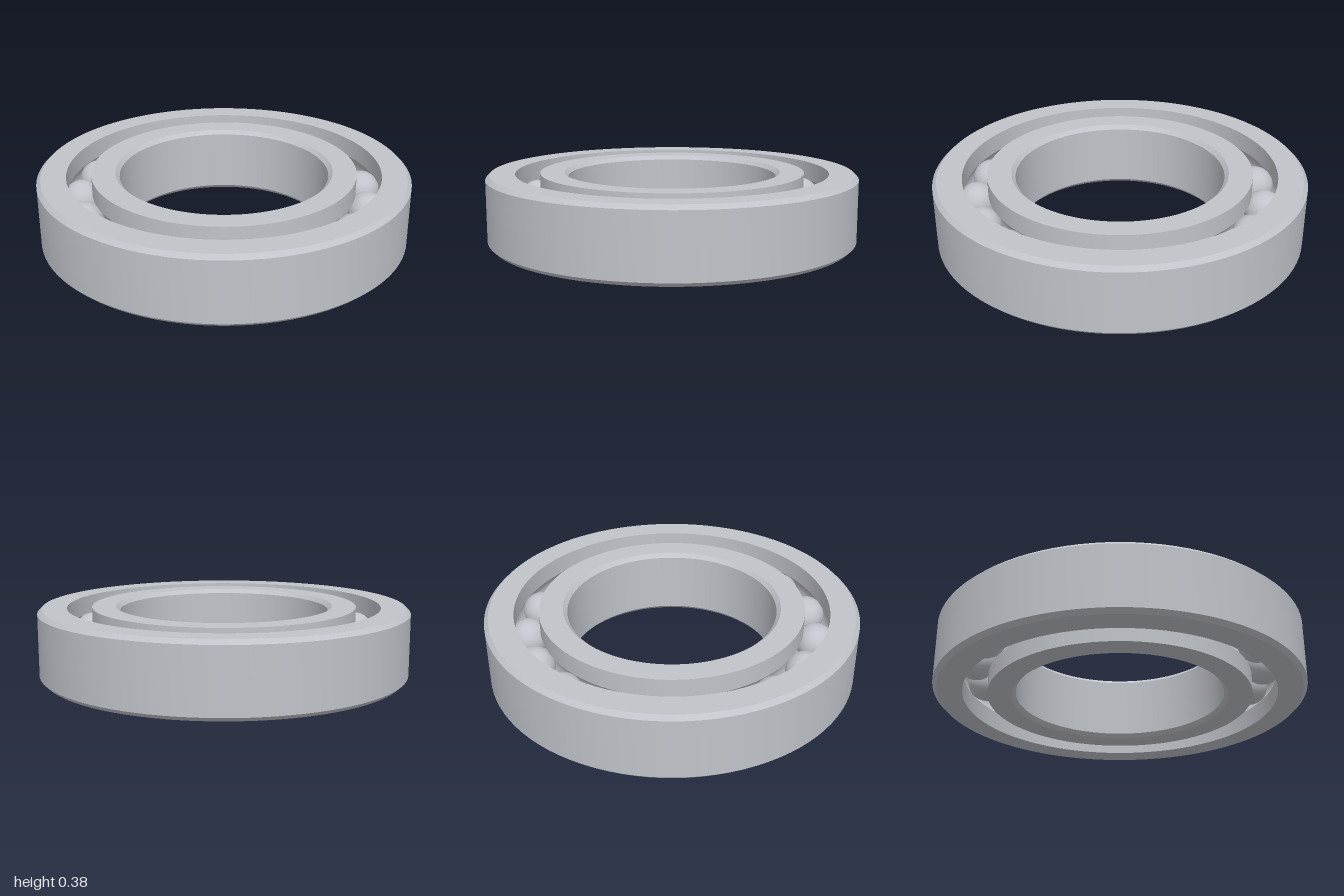
import * as THREE from 'three';
import { toCreasedNormals } from 'three/addons/utils/BufferGeometryUtils.js';

const HEIGHT = 0.375, MID = HEIGHT / 2, CHAMFER = 0.022;
const PITCH = 0.778, BALL_RADIUS = 0.104, GROOVE_RADIUS = 0.106, BALLS = 17;
const OUTER = 1, OUTER_BORE = 0.844, INNER = 0.712, BORE = 0.562;

// Arc of the ball groove between its two edges on a wall at radius `wall`, listed along direction `dir` in y
function groove(wall, dir, steps = 16) {
  const side = Math.sign(wall - PITCH);
  const half = Math.acos(Math.abs(wall - PITCH) / GROOVE_RADIUS);
  return Array.from({ length: steps + 1 }, (_, i) => {
    const a = dir * half * (2 * i / steps - 1);
    return [PITCH + side * GROOVE_RADIUS * Math.cos(a), MID + GROOVE_RADIUS * Math.sin(a)];
  });
}

// Closed counter-clockwise profile turned around the y axis
function ring(name, profile, material) {
  const points = [...profile, profile[0]].map(([r, y]) => new THREE.Vector2(r, y));
  const geometry = toCreasedNormals(new THREE.LatheGeometry(points, 96), Math.PI / 6);
  const mesh = new THREE.Mesh(geometry, material);
  mesh.name = name;
  return mesh;
}

export function createModel() {
  const model = new THREE.Group();
  model.name = 'ballBearing';
  const steel = new THREE.MeshStandardMaterial({ color: 0xc0c4ca });
  steel.name = 'steel';

  // Outer ring: chamfered outside, grooved inside
  model.add(ring('outerRing', [
    [OUTER_BORE, 0], [OUTER - CHAMFER, 0], [OUTER, CHAMFER],
    [OUTER, HEIGHT - CHAMFER], [OUTER - CHAMFER, HEIGHT], [OUTER_BORE, HEIGHT],
    ...groove(OUTER_BORE, -1),
  ], steel));

  // Inner ring: grooved outside, chamfered bore
  model.add(ring('innerRing', [
    [BORE + CHAMFER, 0], [INNER, 0], ...groove(INNER, 1), [INNER, HEIGHT],
    [BORE + CHAMFER, HEIGHT], [BORE, HEIGHT - CHAMFER], [BORE, CHAMFER],
  ], steel));

  // Balls spaced evenly between the rings
  const balls = new THREE.Group();
  balls.name = 'balls';
  const ballGeometry = new THREE.SphereGeometry(BALL_RADIUS, 32, 20);
  for (let i = 0; i < BALLS; i++) {
    const a = (i / BALLS) * Math.PI * 2;
    const ball = new THREE.Mesh(ballGeometry, steel);
    ball.name = 'ball' + (i + 1);
    ball.position.set(PITCH * Math.cos(a), MID, PITCH * Math.sin(a));
    balls.add(ball);
  }
  model.add(balls);
  return model;
}
